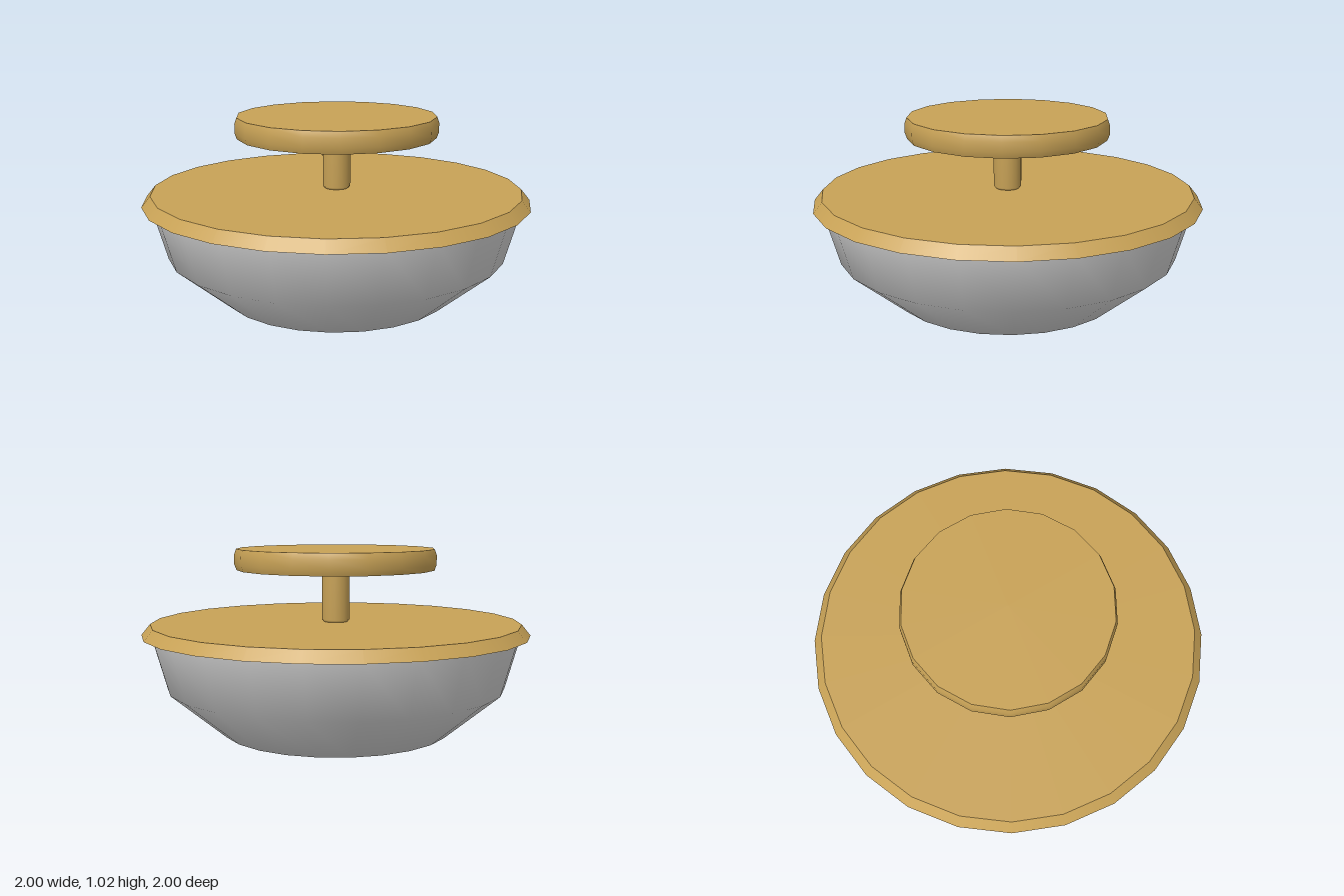
import * as THREE from 'three';

const material = (name, color) => {
  const m = new THREE.MeshStandardMaterial({ color });
  m.name = name;
  return m;
};

export function createModel() {
  const model = new THREE.Group();
  model.name = 'lamp';
  const gold = material('gold', 0xc8a256);
  const grey = material('pale grey', 0xd8d8d8);

  const add = (parent, name, geometry, mat, y = 0) => {
    const mesh = new THREE.Mesh(geometry, mat);
    mesh.name = name;
    mesh.position.y = y;
    parent.add(mesh);
    return mesh;
  };
  const lathe = (points, sides) =>
    new THREE.LatheGeometry(points.map(([r, y]) => new THREE.Vector2(r, y)), sides);

  // Shallow glass bowl, smooth all round
  add(model, 'bowl', lathe([[0, 0.005], [0.595, 0.082], [0.877, 0.318], [0.955, 0.6]], 24), grey);

  // Bevelled rim plate closing the bowl
  add(model, 'rim', new THREE.CylinderGeometry(0.955, 1, 0.055, 24), gold, 0.6225);

  // Stem with a slightly narrowed foot
  add(model, 'stem', lathe([[0.06, 0.65], [0.072, 0.662], [0.072, 0.93]], 18), gold);

  // Ceiling plate: bulged edge with flat faces above and below
  const plate = new THREE.Group();
  plate.name = 'ceilingPlate';
  model.add(plate);
  const r = 0.512, low = 0.922, high = 1.03;
  add(plate, 'plateEdge', lathe([[r, low], [0.523, 0.952], [0.523, 1.0], [r, high]], 18), gold);
  for (const [name, y, tilt] of [['plateTop', high, -1], ['plateUnderside', low, 1]]) {
    const disc = new THREE.CircleGeometry(r, 18, Math.PI / 2).rotateX(tilt * Math.PI / 2);
    add(plate, name, disc, gold, y);
  }
  return model;
}
